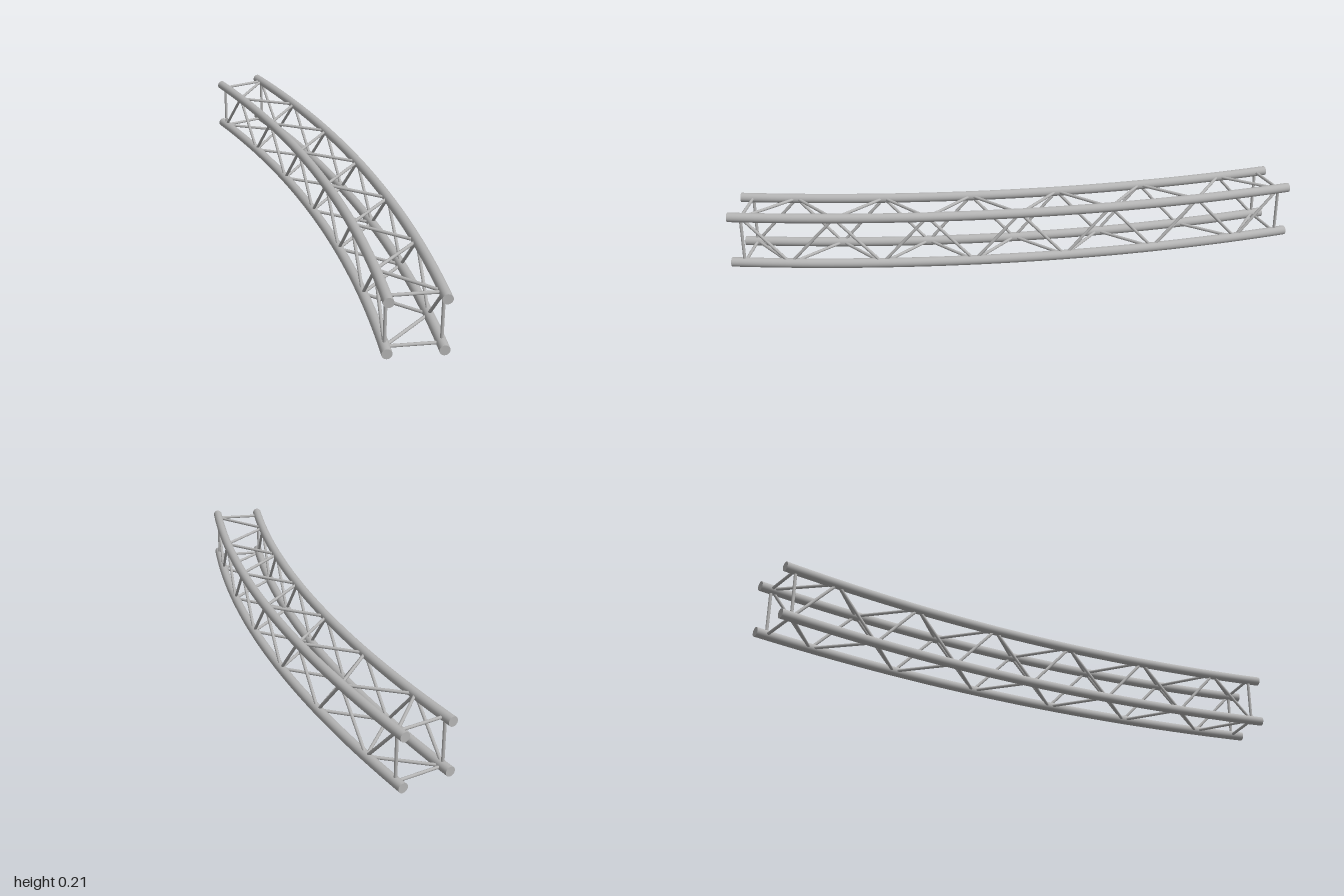
import * as THREE from 'three';

const DEG = Math.PI / 180;
const CENTRE_X = -4.932;              // centre of the bend, level with the front end
const INNER = 5.036, OUTER = 5.21;    // bend radii of the chords
const LOW = 0.017, HIGH = 0.191;      // chord heights
const CHORD_R = 0.017, BRACE_R = 0.0055;
const SWEEP = 22.5 * DEG;
const FIRST = 0.5 * DEG, LAST = 22.05 * DEG, BAYS = 12;

// Point on the bend
const at = (radius, y, angle) =>
  new THREE.Vector3(CENTRE_X + radius * Math.cos(angle), y, 1 - radius * Math.sin(angle));

class ChordCurve extends THREE.Curve {
  constructor(radius, y) {
    super();
    this.radius = radius;
    this.y = y;
  }
  getPoint(t, target = new THREE.Vector3()) {
    return target.copy(at(this.radius, this.y, t * SWEEP));
  }
}

export function createModel() {
  const model = new THREE.Group();
  model.name = 'curvedTruss';
  const metal = new THREE.MeshStandardMaterial({ color: 0xb4b4b4 });
  metal.name = 'aluminium';

  const add = (parent, geometry, name) => {
    const mesh = new THREE.Mesh(geometry, metal);
    mesh.name = name;
    parent.add(mesh);
    return mesh;
  };

  // Straight round bar between two points
  const up = new THREE.Vector3(0, 1, 0);
  const bar = (parent, a, b, name) => {
    const dir = b.clone().sub(a);
    const mesh = add(parent, new THREE.CylinderGeometry(BRACE_R, BRACE_R, dir.length(), 12, 1, true), name);
    mesh.position.copy(a).lerp(b, 0.5);
    mesh.quaternion.setFromUnitVectors(up, dir.normalize());
  };

  // Four bent main chords with closed ends
  for (const radius of [INNER, OUTER]) {
    for (const y of [LOW, HIGH]) {
      const chord = new THREE.Group();
      chord.name = (radius === INNER ? 'inner' : 'outer') + (y === LOW ? 'Lower' : 'Upper') + 'Chord';
      add(chord, new THREE.TubeGeometry(new ChordCurve(radius, y), 40, CHORD_R, 24), 'chordTube');
      for (const [angle, turn] of [[0, 0], [SWEEP, Math.PI + SWEEP]]) {
        const cap = add(chord, new THREE.CircleGeometry(CHORD_R, 24), 'chordEnd');
        cap.position.copy(at(radius, y, angle));
        cap.rotation.y = turn;
      }
      model.add(chord);
    }
  }

  // Each face joins two chords [radius, y]; its zigzag starts on the first one
  const faces = {
    innerLattice: [[INNER, LOW], [INNER, HIGH]],
    outerLattice: [[OUTER, HIGH], [OUTER, LOW]],
    upperLattice: [[OUTER, HIGH], [INNER, HIGH]],
    lowerLattice: [[INNER, LOW], [OUTER, LOW]],
  };
  for (const [name, chords] of Object.entries(faces)) {
    const lattice = new THREE.Group();
    lattice.name = name;
    const node = (k, side) => at(...chords[side], FIRST + (LAST - FIRST) * k / BAYS);
    for (let k = 0; k < BAYS; k++) {
      bar(lattice, node(k, k % 2), node(k + 1, (k + 1) % 2), 'diagonalBrace');
    }
    // Square cross bars near both ends
    for (const k of [0, BAYS]) bar(lattice, node(k, 0), node(k, 1), 'endBar');
    model.add(lattice);
  }

  return model;
}
